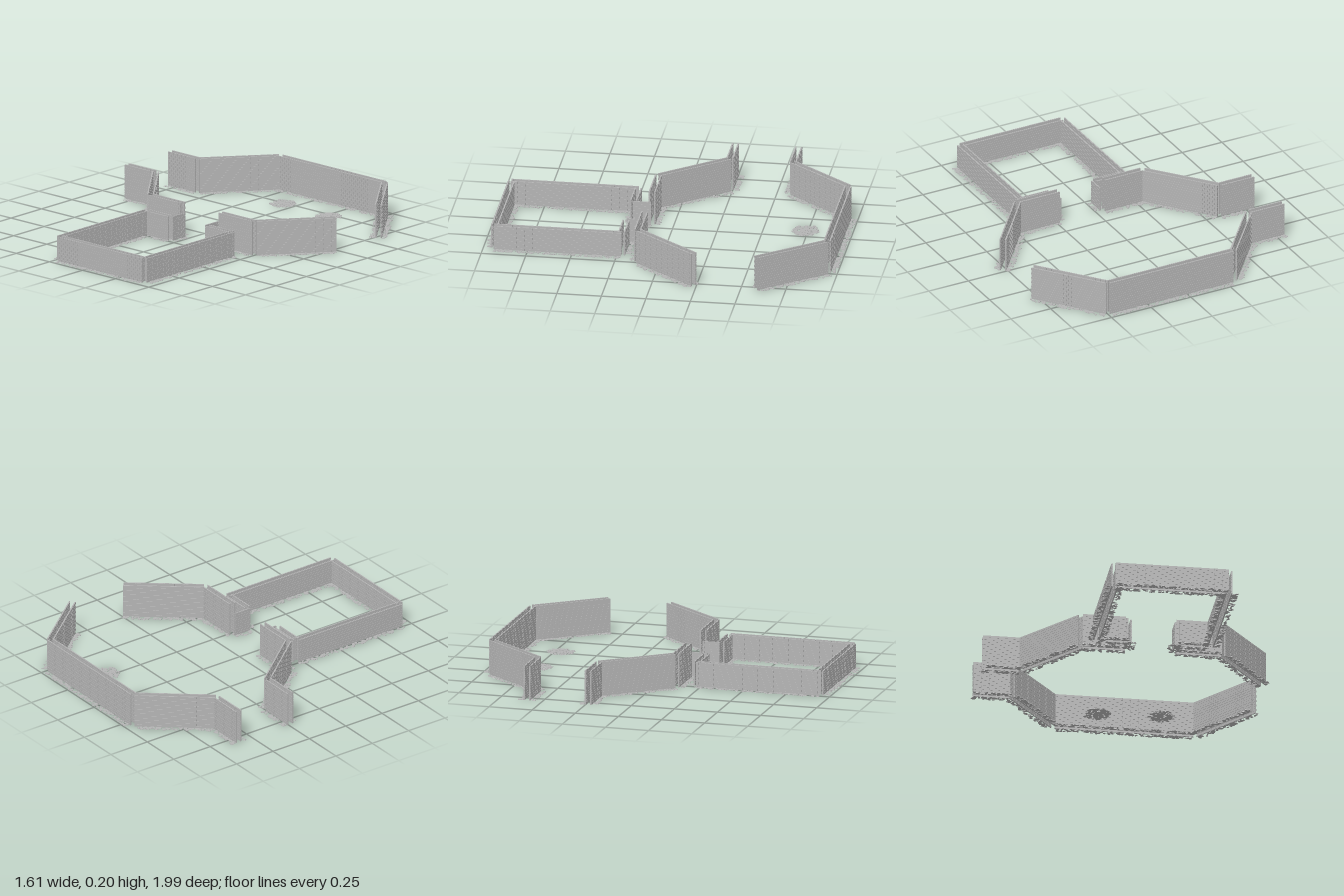
import * as THREE from 'three';
import { mergeGeometries } from 'three/addons/utils/BufferGeometryUtils.js';

const TALL = 14, LOW = 10;           // brick courses
const ROW = 0.014, BRICK = 0.03, GAP = 0.002;

const stoneMat = new THREE.MeshStandardMaterial({ color: 0xb4b4b4 });
stoneMat.name = 'light grey stone';

let seed = 7;
const rand = () => (seed = (seed * 16807) % 2147483647) / 2147483647;

// One flat, irregular stone lying on the ground
function stone(x, z) {
  const r = 0.006 + rand() * 0.006;
  const g = new THREE.CylinderGeometry(r * 0.9, r, 0.002 + rand() * 0.002, 6).toNonIndexed();
  g.computeVertexNormals();
  g.scale(1, 1, 0.7 + rand() * 0.3);
  g.rotateY(rand() * Math.PI);
  g.computeBoundingBox();
  g.translate(x, -g.boundingBox.min.y, z);
  return g;
}

// One thin sheet of staggered bricks around a mortar core, along local x
function sheet(length, rows, z, bricks, cores) {
  const core = new THREE.BoxGeometry(length, rows * ROW, 0.005);
  core.translate(0, rows * ROW / 2, z);
  cores.push(core);
  const half = length / 2;
  for (let r = 0; r < rows; r++) {
    for (let x = -half - (r % 2) * BRICK / 2; x < half; x += BRICK) {
      const a = Math.max(x, -half), b = Math.min(x + BRICK - GAP, half);
      if (b - a < 0.004) continue;
      const g = new THREE.BoxGeometry(b - a, ROW - GAP, 0.008);
      g.translate((a + b) / 2, (r + 0.5) * ROW, z);
      bricks.push(g);
    }
  }
}

// A wall from a to b: its sheets at the given offsets, with rubble along both feet
function wall(name, a, b, rows, offsets = [-0.016, 0.016]) {
  const dx = b[0] - a[0], dz = b[1] - a[1], length = Math.hypot(dx, dz);
  const bricks = [], cores = [], stones = [];
  for (const z of offsets) sheet(length, rows, z, bricks, cores);
  const outer = Math.max(...offsets);
  for (const side of [-1, 1]) {
    const count = Math.round(length * 150);
    for (let i = 0; i < count; i++) {
      const d = outer + 0.006 + 0.026 * Math.pow(rand(), 1.3);
      stones.push(stone((rand() - 0.5) * length, side * d));
    }
  }
  const group = new THREE.Group();
  group.name = name;
  const add = (list, part) => {
    const mesh = new THREE.Mesh(mergeGeometries(list), stoneMat);
    mesh.name = part;
    group.add(mesh);
  };
  add(bricks, 'bricks');
  add(cores, 'mortar');
  add(stones, 'rubble');
  group.position.set((a[0] + b[0]) / 2, 0, (a[1] + b[1]) / 2);
  group.rotation.y = -Math.atan2(dz, dx);
  return group;
}

// A round patch of loose stones
function pile(x, z, radius) {
  const list = [];
  for (let i = 0; i < 150; i++) {
    const t = rand() * Math.PI * 2, r = radius * Math.pow(rand(), 0.6);
    list.push(stone(x + Math.cos(t) * r, z + Math.sin(t) * r));
  }
  const mesh = new THREE.Mesh(mergeGeometries(list), stoneMat);
  mesh.name = 'rubblePile';
  return mesh;
}

export function createModel() {
  seed = 7;
  const model = new THREE.Group();
  model.name = 'ruinedWalls';
  const walls = [
    // large angled yard
    ['backWall', [-0.29, -0.942], [0.49, -0.942], TALL],
    ['backRightDiagonal', [-0.30, -0.94], [-0.585, -0.59], TALL],
    ['backLeftDiagonal', [0.495, -0.94], [0.775, -0.585], TALL],
    ['backGateWall', [-0.80, -0.59], [-0.595, -0.59], TALL],
    ['frontGateWall', [-0.80, -0.235], [-0.595, -0.235], TALL],
    ['frontRightDiagonal', [-0.585, -0.235], [-0.30, 0.115], TALL],
    ['frontLeftDiagonal', [0.495, 0.115], [0.775, -0.235], TALL],
    ['yardFrontRight', [-0.29, 0.122], [-0.05, 0.122], TALL],
    ['yardFrontLeft', [0.235, 0.122], [0.49, 0.122], TALL],
    // doorway ends, single sheets
    ['doorwayRight', [-0.033, 0.125], [-0.033, 0.225], LOW, [0]],
    ['doorwayLeft', [0.216, 0.125], [0.216, 0.225], LOW, [0]],
    // small square room
    ['roomBackRight', [-0.225, 0.225], [-0.05, 0.225], LOW],
    ['roomBackLeft', [0.235, 0.225], [0.41, 0.225], LOW],
    ['roomRight', [-0.228, 0.225], [-0.228, 0.94], LOW],
    ['roomLeft', [0.413, 0.225], [0.413, 0.94], LOW],
    ['roomFront', [-0.225, 0.937], [0.41, 0.937], LOW],
  ];
  for (const w of walls) model.add(wall(...w));
  model.add(pile(-0.085, -0.735, 0.075), pile(0.275, -0.715, 0.075));
  return model;
}
